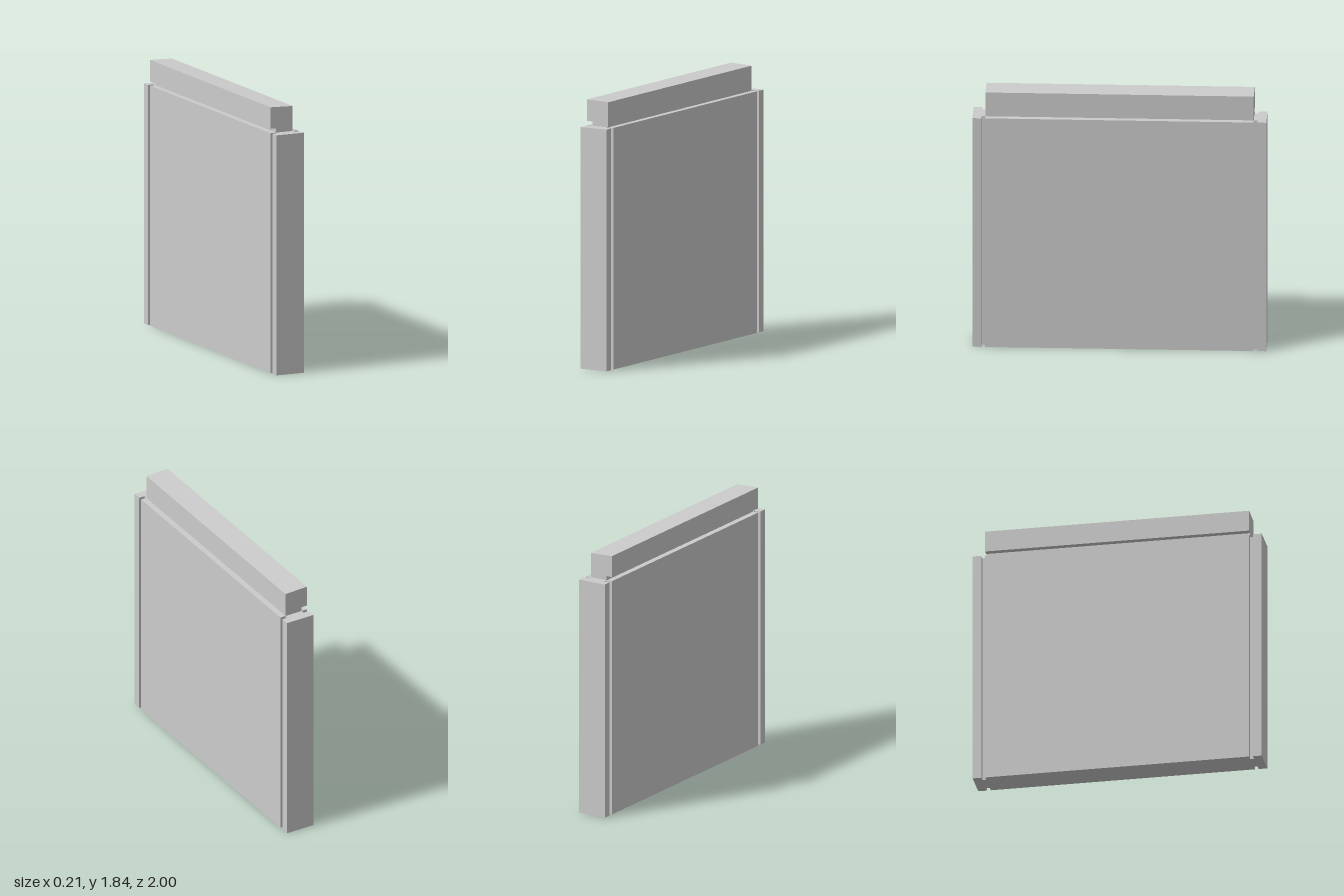
import * as THREE from 'three';

const HALF_T = 0.105;    // half thickness of the wall
const CORE = 0.064;      // half thickness at the grooves
const PANEL_Z = 0.913;   // half length of the panel
const POST_Z = 0.94;     // inner face of the end posts
const WALL_H = 1.665;

const material = new THREE.MeshStandardMaterial({ color: 0xcccccc, flatShading: true });

function extrude(name, points, depth) {
  const shape = new THREE.Shape(points.map(([x, y]) => new THREE.Vector2(x, y)));
  const geometry = new THREE.ExtrudeGeometry(shape, { depth, bevelEnabled: false });
  const mesh = new THREE.Mesh(geometry, material);
  mesh.name = name;
  return mesh;
}

export function createModel() {
  const group = new THREE.Group();
  group.name = 'wallPanel';

  // Wall plan: panel and end posts separated by vertical grooves on both faces
  const side = [
    [HALF_T, -1], [HALF_T, -POST_Z], [CORE, -POST_Z], [CORE, -PANEL_Z], [HALF_T, -PANEL_Z],
    [HALF_T, PANEL_Z], [CORE, PANEL_Z], [CORE, POST_Z], [HALF_T, POST_Z], [HALF_T, 1],
  ];
  const plan = [...side, ...side.map(([x, z]) => [-x, -z])];
  const wall = extrude('wall', plan, WALL_H);
  wall.geometry.rotateX(-Math.PI / 2);
  group.add(wall);

  // Top rail: narrow neck with a lip over one face and a slightly sloped top
  const rail = extrude('topRail', [
    [-CORE, WALL_H], [CORE, WALL_H], [CORE, 1.838], [-HALF_T, 1.844],
    [-HALF_T, 1.695], [-CORE, 1.695],
  ], 2 * PANEL_Z);
  rail.geometry.translate(0, 0, -PANEL_Z);
  group.add(rail);

  return group;
}
